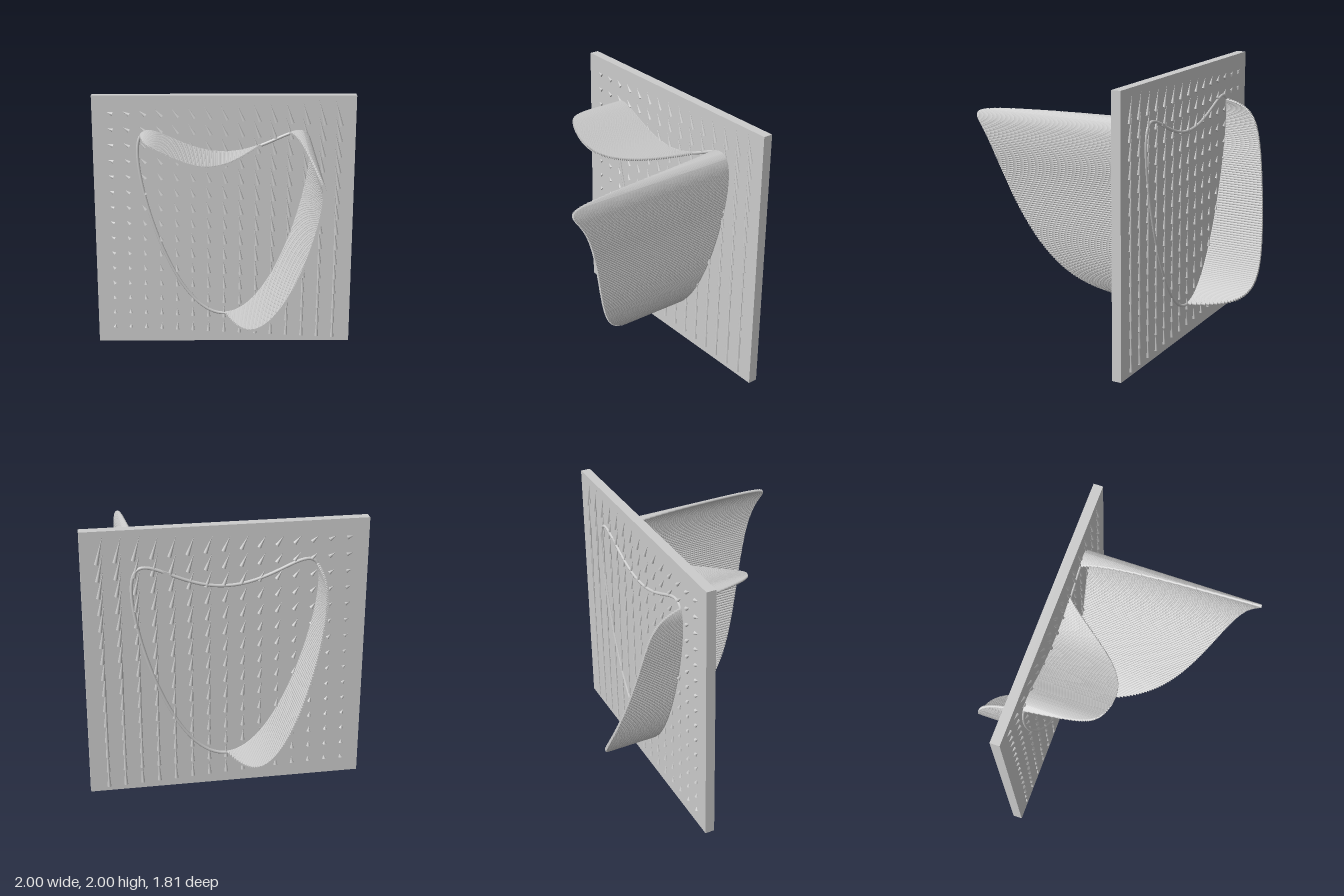
import * as THREE from 'three';
import { mergeGeometries } from 'three/addons/utils/BufferGeometryUtils.js';

const PLATE_Z = -0.442, HALF = 0.035; // plate centre and half thickness
const SCALE = 0.66, BASE_Y = 0.9;     // field units to model units

// Swirling vector field
const field = (X, Y) => new THREE.Vector2(-0.2 * (Y + 1), 0.51 * (X + 1.5));

// Heart-like closed path and its unit tangent
const path = (t) => new THREE.Vector2(Math.cos(t), Math.sin(t) + Math.cos(t) ** 2);
const tangent = (t) =>
  new THREE.Vector2(-Math.sin(t), Math.cos(t) * (1 - 2 * Math.sin(t))).normalize();

export function createModel() {
  const group = new THREE.Group();
  const material = new THREE.MeshStandardMaterial({ color: 0xcccccc });
  const add = (name, geometry) => {
    const mesh = new THREE.Mesh(geometry, material);
    mesh.name = name;
    group.add(mesh);
    return mesh;
  };

  // Square plate
  add('plate', new THREE.BoxGeometry(2, 2, 2 * HALF)).position.set(0, 1, PLATE_Z);

  // Path tubes on both faces
  const points = [];
  for (let i = 0; i < 120; i++) {
    const p = path((i / 120) * Math.PI * 2);
    points.push(new THREE.Vector3(SCALE * p.x, BASE_Y + SCALE * p.y, 0));
  }
  const curve = new THREE.CatmullRomCurve3(points, true);
  const tube = new THREE.TubeGeometry(curve, 240, 0.012, 10, true);
  add('frontPath', tube).position.z = PLATE_Z + HALF;
  add('backPath', tube).position.z = PLATE_Z - HALF;

  // Wall of fine rods; each rod's length is the field along the path
  const rods = [];
  const count = 400;
  for (let i = 0; i < count; i++) {
    const t = (i / count) * Math.PI * 2;
    const p = path(t);
    const height = field(p.x, p.y).dot(tangent(t));
    if (Math.abs(height) < 0.01) continue;
    const rod = new THREE.CylinderGeometry(0.012, 0.012, Math.abs(height), 10);
    rod.rotateX(Math.PI / 2);
    rod.translate(SCALE * p.x, BASE_Y + SCALE * p.y, PLATE_Z + height / 2);
    rods.push(rod);
  }
  add('rodWall', mergeGeometries(rods));

  // Grid of cone arrows on both faces
  const arrows = [];
  const n = 15, reach = 0.867;
  for (let i = 0; i < n; i++) {
    for (let j = 0; j < n; j++) {
      const x = -reach + (2 * reach * i) / (n - 1);
      const y = 1 - reach + (2 * reach * j) / (n - 1);
      const f = field(x / SCALE, (y - BASE_Y) / SCALE);
      f.x *= 0.7;
      const length = Math.max(0.03, 0.14 * f.length());
      const arrow = new THREE.ConeGeometry(0.015, length, 10);
      arrow.rotateZ(Math.atan2(f.y, f.x) - Math.PI / 2);
      arrow.translate(x, y, 0);
      arrows.push(arrow);
    }
  }
  const arrowGrid = mergeGeometries(arrows);
  add('frontArrows', arrowGrid).position.z = PLATE_Z + HALF;
  add('backArrows', arrowGrid).position.z = PLATE_Z - HALF;

  return group;
}
